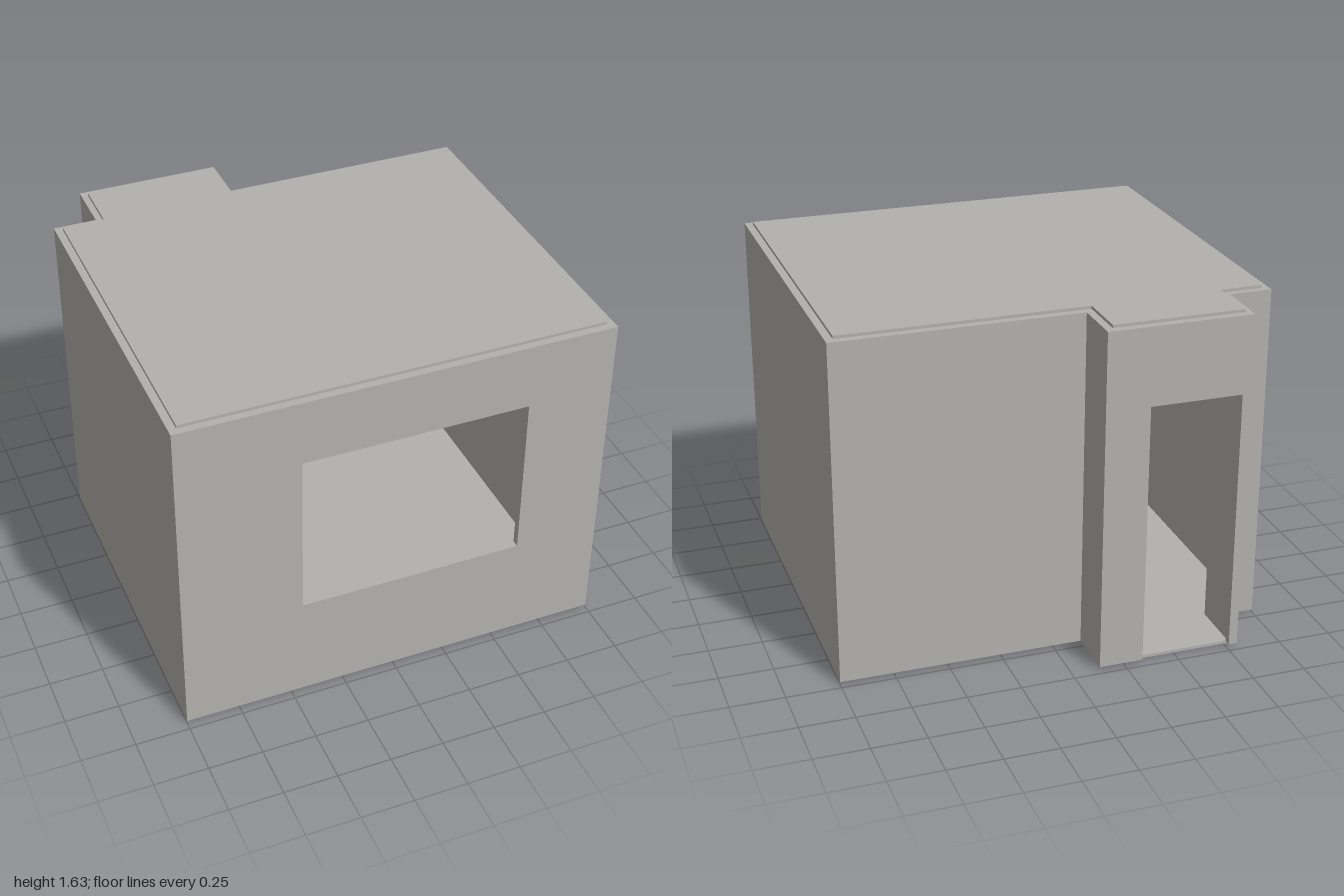
import * as THREE from 'three';

export function createModel() {
  const model = new THREE.Group();
  model.name = 'room';
  const plaster = new THREE.MeshStandardMaterial({ color: 0xb3b1ac });
  plaster.name = 'warm grey plaster';

  const slab = 0.014;            // floor and ceiling thickness
  const wallHeight = 1.6;
  const wallTop = slab + wallHeight;
  const toPoints = (list) => list.map(([x, y]) => new THREE.Vector2(x, y));

  function add(name, geometry) {
    const mesh = new THREE.Mesh(geometry, plaster);
    mesh.name = name;
    model.add(mesh);
  }

  // Footprint given as [x, z], raised from y by height
  function addPlan(name, plan, y, height) {
    const shape = new THREE.Shape(toPoints(plan.map(([x, z]) => [x, -z])));
    const geometry = new THREE.ExtrudeGeometry(shape, { depth: height, bevelEnabled: false });
    geometry.rotateX(-Math.PI / 2).translate(0, y, 0);
    add(name, geometry);
  }

  // Upright panel given as [x, y], from zBack to zFront
  function addPanel(name, outline, zBack, zFront, hole) {
    const shape = new THREE.Shape(toPoints(outline));
    if (hole) shape.holes.push(new THREE.Path(toPoints(hole)));
    const geometry = new THREE.ExtrudeGeometry(shape, { depth: zFront - zBack, bevelEnabled: false });
    geometry.translate(0, 0, zBack);
    add(name, geometry);
  }

  // Front wall with the window opening
  addPanel('frontWindowWall',
    [[-1, slab], [1, slab], [1, wallTop], [-1, wallTop]], 0.93, 0.965,
    [[-0.445, 0.515], [-0.445, 1.305], [0.6, 1.305], [0.6, 0.515]]);

  // Back of the entrance bay, with a doorway down to the floor
  addPanel('doorWall',
    [[-0.8, slab], [-0.76, slab], [-0.76, 1.25], [-0.335, 1.25], [-0.335, slab],
      [-0.13, slab], [-0.13, wallTop], [-0.8, wallTop]], -0.97, -0.935);

  // Side walls, each turning the corner to the entrance bay
  addPlan('rightSideWalls',
    [[-1, 0.93], [-1, -0.71], [-0.8, -0.71], [-0.8, -0.935],
      [-0.77, -0.935], [-0.77, -0.68], [-0.965, -0.68], [-0.965, 0.93]], slab, wallHeight);
  addPlan('leftSideWalls',
    [[1, 0.93], [1, -0.725], [-0.13, -0.725], [-0.13, -0.935],
      [-0.165, -0.935], [-0.165, -0.69], [0.965, -0.69], [0.965, 0.93]], slab, wallHeight);

  // Floor and ceiling follow the inside of the walls
  const inside = [[-0.965, 0.93], [0.965, 0.93], [0.965, -0.69], [-0.165, -0.69],
    [-0.165, -0.935], [-0.77, -0.935], [-0.77, -0.68], [-0.965, -0.68]];
  addPlan('floor', inside, 0, slab);
  addPlan('ceiling', inside, wallTop, slab);

  return model;
}
